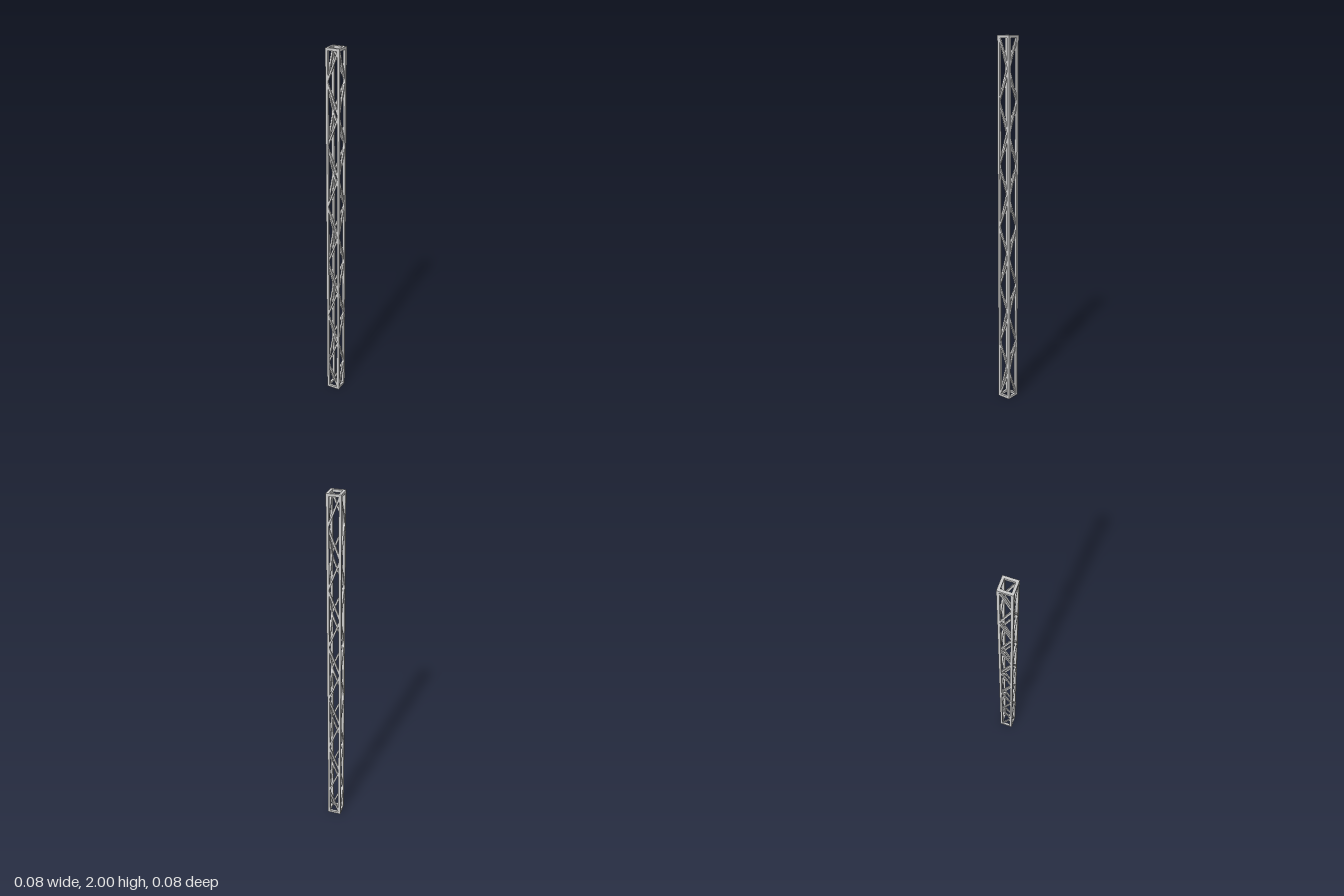
import * as THREE from 'three';

const HEIGHT = 2;
const WIDTH = 0.077;   // outer width of the square mast
const BAR = 0.0135;    // posts and end rails
const BRACE = 0.0095;  // diagonal braces
const BAYS = 12;

export function createModel() {
  const mast = new THREE.Group();
  mast.name = 'latticeMast';
  const material = new THREE.MeshStandardMaterial({ color: 0xcccccc, flatShading: true });
  const c = (WIDTH - BAR) / 2;
  const up = new THREE.Vector3(0, 1, 0);

  // Square bar running from a to b
  const addBar = (name, a, b, thickness) => {
    const along = b.clone().sub(a);
    const bar = new THREE.Mesh(new THREE.BoxGeometry(thickness, along.length(), thickness), material);
    bar.name = name;
    bar.position.copy(a).add(b).multiplyScalar(0.5);
    bar.quaternion.setFromUnitVectors(up, along.normalize());
    mast.add(bar);
  };

  // Corners in order around the mast; neighbours alternate even and odd nodes
  const corners = [[c, c], [c, -c], [-c, -c], [-c, c]];
  const at = (i, y) => new THREE.Vector3(corners[i % 4][0], y, corners[i % 4][1]);
  const nodeY = (k) => THREE.MathUtils.clamp((k * HEIGHT) / BAYS, 0.005, HEIGHT - 0.005);

  for (let i = 0; i < 4; i++) {
    // Corner post
    addBar('cornerPost', at(i, 0), at(i, HEIGHT), BAR);

    // Top and bottom rails, fitted between the posts
    for (const y of [BAR / 2, HEIGHT - BAR / 2]) {
      const a = at(i, y), b = at(i + 1, y);
      const inset = b.clone().sub(a).setLength(BAR / 2);
      addBar(y < 1 ? 'bottomRail' : 'topRail', a.add(inset), b.sub(inset), BAR);
    }

    // Zigzag braces: even corners meet even nodes, odd corners odd nodes
    for (let k = 0; k < BAYS; k++) {
      const first = (i + k) % 2 === 0 ? i : i + 1;
      const second = first === i ? i + 1 : i;
      addBar('diagonalBrace', at(first, nodeY(k)), at(second, nodeY(k + 1)), BRACE);
    }
  }
  return mast;
}
